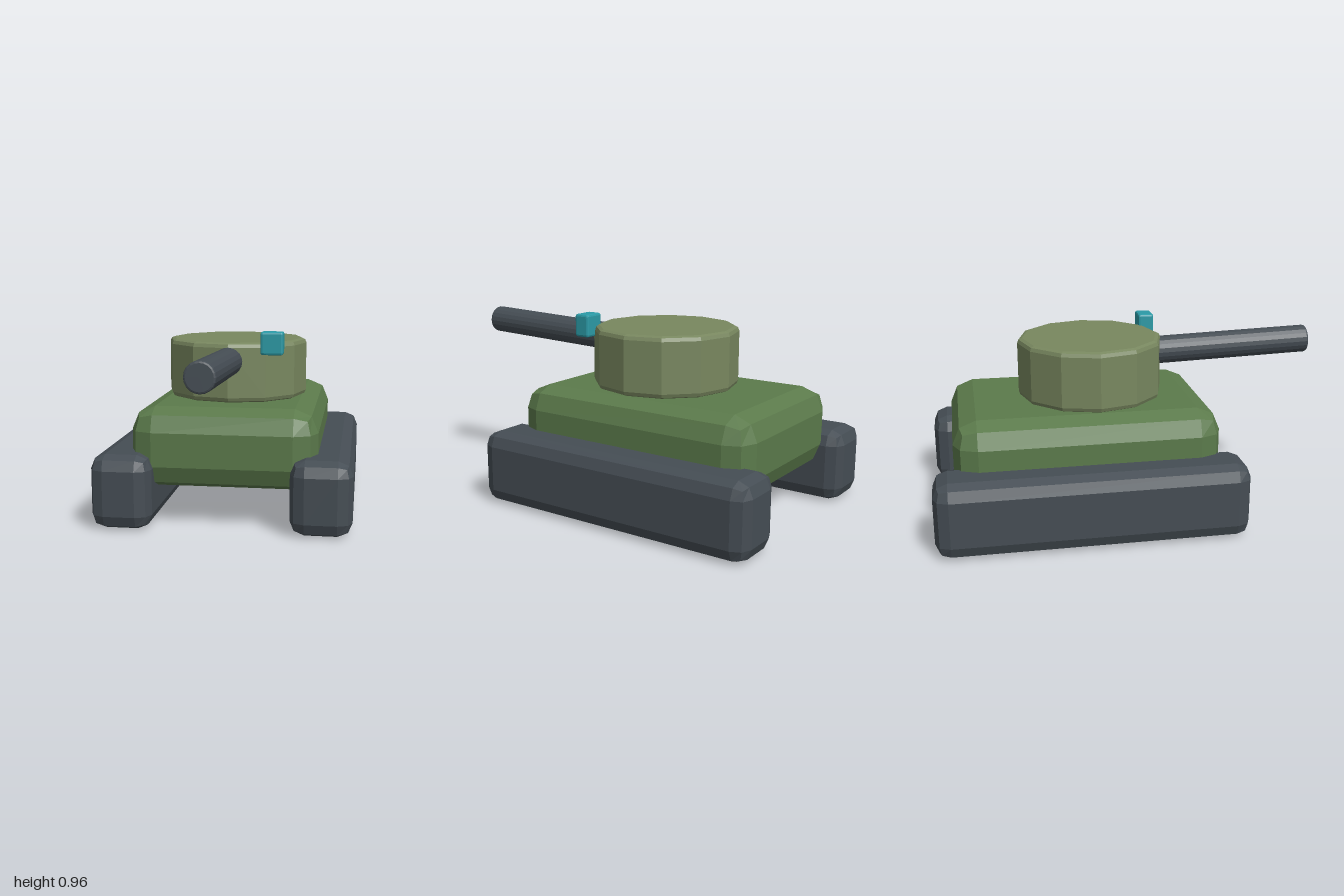
import * as THREE from 'three';
import { RoundedBoxGeometry } from 'three/addons/geometries/RoundedBoxGeometry.js';

const paint = (color) => new THREE.MeshStandardMaterial({ color, flatShading: true });

export function createModel() {
  const model = new THREE.Group();
  const hullPaint = paint(0x5b7a4b);
  const turretPaint = paint(0x78875f);
  const darkSteel = paint(0x454d54);
  const glass = paint(0x2b9aa6);

  const add = (name, geometry, material, x, y, z) => {
    const mesh = new THREE.Mesh(geometry, material);
    mesh.name = name;
    mesh.position.set(x, y, z);
    model.add(mesh);
    return mesh;
  };

  // Box with edges rounded in two facets, given by its extents
  const box = (name, material, [x0, x1], [y0, y1], [z0, z1], radius) =>
    add(name, new RoundedBoxGeometry(x1 - x0, y1 - y0, z1 - z0, 1, radius), material,
      (x0 + x1) / 2, (y0 + y1) / 2, (z0 + z1) / 2);

  // Faceted drum with two-step bevelled rims, centred on its own axis
  const drum = (radius, height, bevel, sides) => {
    const profile = [new THREE.Vector2(0, -height / 2)];
    for (const end of [-1, 1]) {
      for (let i = 0; i <= 2; i++) {
        const a = ((end < 0 ? i : 2 - i) * Math.PI) / 4;
        profile.push(new THREE.Vector2(
          radius - bevel + bevel * Math.sin(a),
          end * (height / 2 - bevel + bevel * Math.cos(a))));
      }
    }
    profile.push(new THREE.Vector2(0, height / 2));
    return new THREE.LatheGeometry(profile, sides);
  };

  // Hull and the two tracks
  box('hull', hullPaint, [-0.47, 0.47], [0.19, 0.598], [-0.895, 0.432], 0.118);
  box('leftTrack', darkSteel, [0.342, 0.648], [0, 0.375], [-1, 0.535], 0.073);
  box('rightTrack', darkSteel, [-0.648, -0.342], [0, 0.375], [-1, 0.535], 0.073);

  // Twelve-sided turret
  add('turret', drum(0.373, 0.306, 0.025, 12), turretPaint, 0, 0.753, -0.172);

  // Gun barrel, tilted slightly upward, its rear end inside the turret
  const barrel = add('barrel', drum(0.072, 1, 0.01, 20), darkSteel, 0, 0.822, 0.498);
  barrel.rotation.x = Math.PI / 2 - 0.033;

  // Periscope on the turret's front left rim
  box('periscope', glass, [0.165, 0.28], [0.848, 0.964], [0.12, 0.202], 0.011);

  return model;
}
